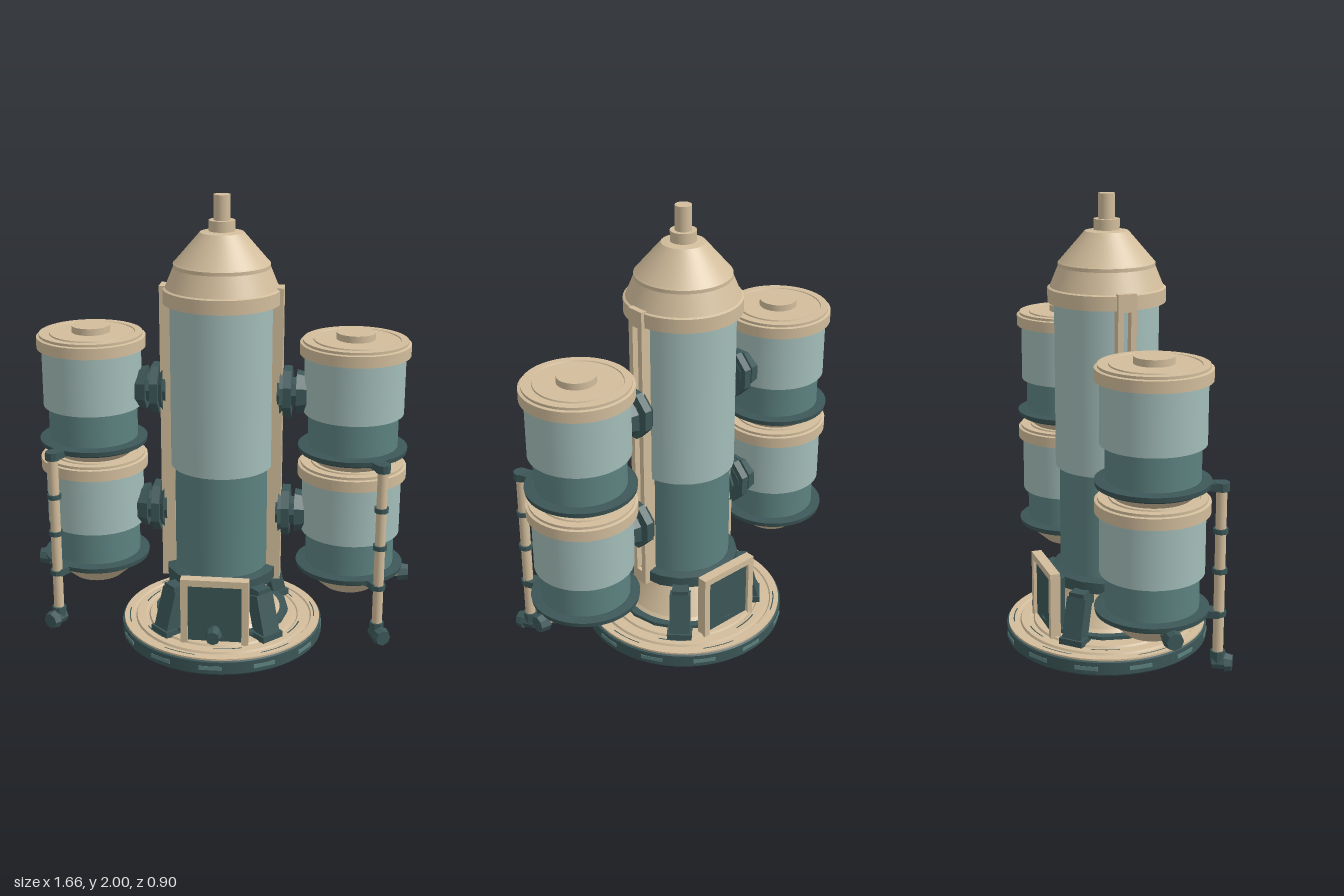
import * as THREE from 'three';
import { mergeGeometries } from 'three/addons/utils/BufferGeometryUtils.js';

const material = (name, color) => {
  const m = new THREE.MeshStandardMaterial({ color });
  m.name = name;
  return m;
};

export function createModel() {
  const tan = material('tan metal', 0xd2bd9c);
  const glass = material('pale glass', 0xa3bdb9);
  const teal = material('teal liquid', 0x5c8280);
  const dark = material('dark metal', 0x3c5657);

  const add = (parent, name, geo, mat, x = 0, y = 0, z = 0) => {
    const mesh = new THREE.Mesh(geo, mat);
    mesh.name = name;
    mesh.position.set(x, y, z);
    parent.add(mesh);
    return mesh;
  };
  const group = (parent, name, x = 0, y = 0, z = 0) => {
    const g = new THREE.Group();
    g.name = name;
    g.position.set(x, y, z);
    parent.add(g);
    return g;
  };
  // Turned solid from [radius, height] pairs going up, smooth around with crisp edges
  const turn = (pts, seg = 48) => {
    const p = [[0, pts[0][1]], ...pts, [0, pts[pts.length - 1][1]]];
    const parts = [];
    for (let i = 0; i + 1 < p.length; i++) {
      if (p[i][0] === p[i + 1][0] && p[i][1] === p[i + 1][1]) continue;
      parts.push(new THREE.LatheGeometry([p[i], p[i + 1]].map(a => new THREE.Vector2(...a)), seg));
    }
    return mergeGeometries(parts);
  };
  const disc = (r, y0, y1, seg) => turn([[r, y0], [r, y1]], seg);
  const box = (w, h, d) => new THREE.BoxGeometry(w, h, d);
  // Faceted prism, axis along y
  const prism = (rTop, rBottom, h, sides) => {
    const g = new THREE.CylinderGeometry(rTop, rBottom, h, sides).toNonIndexed();
    g.computeVertexNormals();
    return g;
  };
  // Rectangular frame with an opening, standing in the xy plane
  const frame = (w, y0, y1, hw, hy0, hy1, depth) => {
    const rect = (S, a, b, c) => new S([[-a, b], [a, b], [a, c], [-a, c]].map(q => new THREE.Vector2(...q)));
    const s = rect(THREE.Shape, w / 2, y0, y1);
    s.holes.push(rect(THREE.Path, hw / 2, hy0, hy1));
    return new THREE.ExtrudeGeometry(s, { depth, bevelEnabled: false }).translate(0, 0, -depth / 2);
  };

  const model = new THREE.Group();
  model.name = 'tankStation';

  // Round base with ribbed top
  const base = group(model, 'base');
  add(base, 'baseDisc', turn([[0.435, 0.022], [0.45, 0.035], [0.45, 0.09], [0.44, 0.095]], 64), dark);
  add(base, 'baseTop', turn([[0.442, 0.09], [0.442, 0.102], [0.405, 0.102], [0.4, 0.096], [0.39, 0.096],
    [0.385, 0.105], [0.345, 0.105], [0.34, 0.1], [0.33, 0.1], [0.325, 0.108]], 64), tan);
  for (let i = 0; i < 12; i++) {
    const a = i * Math.PI / 6;
    const slot = add(base, 'rimSlot', box(0.1, 0.018, 0.008), teal, Math.sin(a) * 0.447, 0.062, Math.cos(a) * 0.447);
    slot.rotation.y = a;
    // Thin curved grooves in the top
    const arc = new THREE.RingGeometry(i % 2 ? 0.355 : 0.415, i % 2 ? 0.361 : 0.42, 12, 1, a, 0.35).rotateX(-Math.PI / 2);
    add(base, 'topGroove', arc, dark, 0, i % 2 ? 0.1062 : 0.1032, 0);
  }
  for (let i = 0; i < 4; i++) {
    const a = i * Math.PI / 2 + Math.PI / 4;
    add(base, 'foot', box(0.07, 0.024, 0.05), dark, Math.sin(a) * 0.27, 0.012, Math.cos(a) * 0.27).rotation.y = a;
  }
  add(base, 'footing', prism(0.3, 0.3, 0.015, 16), dark, 0, 0.13, 0);
  add(base, 'pedestal', turn([[0.27, 0.13], [0.25, 0.15], [0.15, 0.31]]), tan);
  add(base, 'collar', turn([[0.22, 0.3], [0.245, 0.31], [0.245, 0.36], [0.21, 0.37]], 16), dark);

  // Diagonal braces around the pedestal
  for (let i = 0; i < 4; i++) {
    const brace = group(base, 'brace');
    brace.rotation.y = Math.PI / 4 + i * Math.PI / 2;
    add(brace, 'braceBeam', box(0.09, 0.2, 0.07), dark, 0, 0.2, 0.29).rotation.x = -0.28;
    add(brace, 'braceHead', box(0.07, 0.07, 0.1), dark, 0, 0.29, 0.245);
    add(brace, 'braceFoot', box(0.11, 0.03, 0.09), dark, 0, 0.118, 0.31);
  }

  // Framed hatches front and back, valve on the front one
  for (const s of [1, -1]) {
    const hatch = group(model, s > 0 ? 'frontHatch' : 'backHatch');
    hatch.rotation.y = s > 0 ? 0 : Math.PI;
    add(hatch, 'hatchFrame', frame(0.295, 0.1, 0.4, 0.235, 0.1, 0.37, 0.045), tan, 0, 0, 0.284);
    add(hatch, 'hatchPanel', box(0.24, 0.265, 0.06), dark, 0, 0.235, 0.262);
    if (s > 0) {
      add(hatch, 'valveStem', prism(0.024, 0.024, 0.07, 8), dark, 0, 0.16, 0.315).rotation.x = Math.PI / 2;
      add(hatch, 'valve', prism(0.03, 0.037, 0.04, 8), dark, 0, 0.16, 0.352).rotation.x = Math.PI / 2;
    }
  }

  // Central column
  const column = group(model, 'column');
  add(column, 'columnLower', disc(0.205, 0.32, 0.832), teal);
  add(column, 'columnGlass', disc(0.222, 0.832, 1.555), glass);
  add(column, 'columnCap', turn([[0.25, 1.55], [0.25, 1.61], [0.24, 1.615], [0.205, 1.7], [0.205, 1.715],
    [0.2, 1.72], [0.092, 1.845], [0.055, 1.85], [0.055, 1.895], [0.035, 1.895], [0.035, 2]]), tan);

  // One tank: liquid, glass, cap, flange and funnel
  const makeTank = (parent, y) => {
    const tank = group(parent, 'tank', 0, y, 0);
    add(tank, 'tankLower', disc(0.193, 0.39, 0.548), teal);
    add(tank, 'tankGlass', disc(0.214, 0.546, 0.81), glass);
    add(tank, 'tankCap', turn([[0.234, 0.802], [0.234, 0.85], [0.222, 0.853], [0.222, 0.864], [0.19, 0.864],
      [0.188, 0.86], [0.178, 0.86], [0.176, 0.866], [0.082, 0.866], [0.082, 0.895]]), tan);
    add(tank, 'tankFlange', turn([[0.215, 0.365], [0.232, 0.375], [0.235, 0.395], [0.2, 0.4]]), dark);
    add(tank, 'tankFunnel', turn([[0.11, 0.283], [0.205, 0.366]]), tan);
    add(tank, 'tankOutlet', turn([[0.065, 0.265], [0.075, 0.275], [0.075, 0.285]]), dark);
  };

  for (const s of [1, -1]) {
    const side = s > 0 ? 'left' : 'right';
    // Slotted rail on the column
    const rail = add(column, side + 'Rail', frame(0.08, 0.3, 1.62, 0.032, 0.36, 1.545, 0.06), tan, s * 0.232, 0, 0);
    rail.rotation.y = Math.PI / 2;

    const stack = group(model, side + 'TankStack', s * 0.566, 0, 0);
    makeTank(stack, 0);
    makeTank(stack, 0.54);

    // Octagonal couplings to the column
    for (const y of [0.62, 1.165]) {
      const coupling = group(model, side + 'Coupling', s * 0.31, y, 0);
      coupling.rotation.z = -s * Math.PI / 2;
      add(coupling, 'innerPlate', prism(0.112, 0.112, 0.035, 8), dark, 0, -0.026, 0).rotation.y = Math.PI / 8;
      add(coupling, 'innerBevel', prism(0.07, 0.1, 0.03, 8), dark, 0, -0.044, 0).rotation.y = Math.PI / 8;
      add(coupling, 'outerPlate', prism(0.085, 0.096, 0.045, 8), dark, 0, 0.035, 0).rotation.y = Math.PI / 8;
      add(coupling, 'couplingCore', prism(0.065, 0.065, 0.14, 8), dark);
    }

    // Drain spout on the outer side
    const spout = group(model, side + 'Spout', s * 0.72, 0.345, 0);
    spout.rotation.z = -s * Math.PI / 2;
    add(spout, 'spoutPipe', disc(0.022, -0.08, 0.07, 16), tan);
    add(spout, 'spoutCollar', prism(0.03, 0.03, 0.025, 8), dark, 0, 0.02, 0);
    add(spout, 'spoutValve', prism(0.036, 0.042, 0.045, 8), dark, 0, 0.086, 0);

    // Hanging pipe with clamps and an elbow nozzle
    const pipe = group(model, side + 'Pipe', s * 0.697, 0, 0.24);
    add(pipe, 'pipeTube', disc(0.022, 0.18, 0.93, 20), tan);
    for (const y of [0.38, 0.565, 0.735]) add(pipe, 'pipeClamp', prism(0.031, 0.031, 0.02, 10), dark, 0, y, 0);
    add(pipe, 'pipeTop', prism(0.032, 0.032, 0.035, 10), dark, 0, 0.92, 0);
    const outward = s * 0.51;
    for (const y of [0.38, 0.92]) {
      const bracket = group(pipe, 'pipeBracket', 0, y, 0);
      bracket.rotation.y = outward;
      add(bracket, 'bracketArm', box(0.06, 0.03, 0.08), dark, 0, 0, -0.035);
    }
    const elbow = group(pipe, 'elbow', 0, 0.165, 0);
    elbow.rotation.y = outward;
    add(elbow, 'elbowCollar', prism(0.031, 0.031, 0.05, 8), dark, 0, 0.025, 0);
    add(elbow, 'elbowBody', prism(0.032, 0.032, 0.065, 8), dark, 0, 0, 0.01).rotation.x = Math.PI / 2;
    add(elbow, 'elbowNozzle', prism(0.034, 0.041, 0.03, 8), dark, 0, -0.002, 0.045).rotation.x = Math.PI / 2;
  }

  return model;
}
